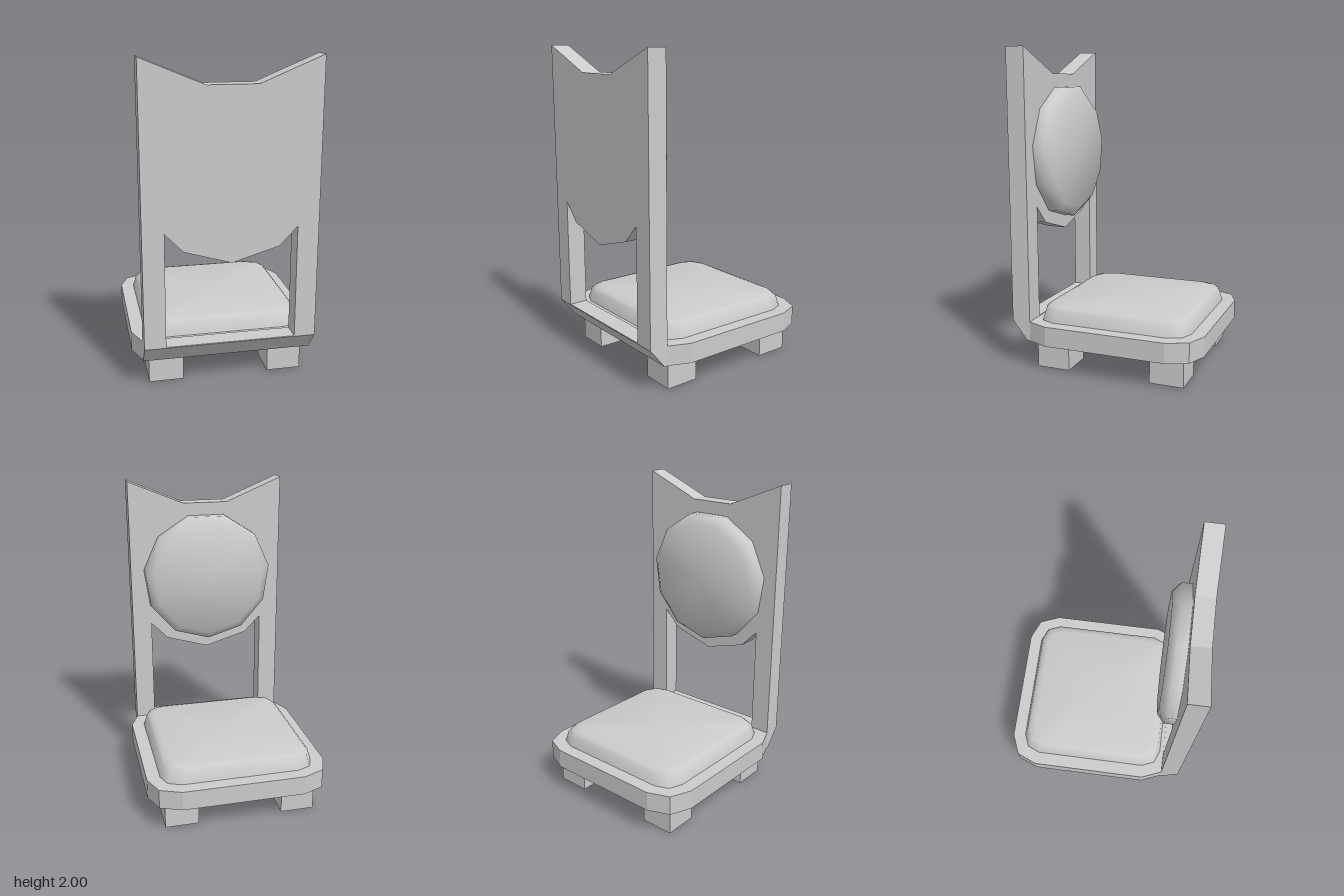
import * as THREE from 'three';
import { toCreasedNormals } from 'three/addons/utils/BufferGeometryUtils.js';

const material = new THREE.MeshStandardMaterial({ color: 0xcccccc });

function addMesh(group, name, geometry) {
  const mesh = new THREE.Mesh(geometry, material);
  mesh.name = name;
  group.add(mesh);
  return mesh;
}

const toShape = (pts) => new THREE.Shape(pts.map(([x, y]) => new THREE.Vector2(x, y)));
const extrude = (shape, depth) => new THREE.ExtrudeGeometry(shape, { depth, bevelEnabled: false });

// Complete a right-hand outline with its mirror image across x = 0
const mirrored = (half) => [
  ...half,
  ...half.filter(([x]) => x !== 0).reverse().map(([x, y]) => [-x, y]),
];

// Padded cushion: outline scaled through [height, scale] rings, closed by a flat top
function cushion(outline, rings) {
  const n = outline.length;
  const pos = [];
  const index = [];
  for (const [h, s] of rings) for (const [a, b] of outline) pos.push(a * s, h, -b * s);
  for (let r = 0; r < rings.length - 1; r++) {
    for (let i = 0; i < n; i++) {
      const j = (i + 1) % n;
      const p = r * n;
      index.push(p + i, p + j, p + n + j, p + i, p + n + j, p + n + i);
    }
  }
  const top = (rings.length - 1) * n;
  const centre = rings.length * n;
  pos.push(0, rings[rings.length - 1][0], 0);
  for (let i = 0; i < n; i++) index.push(top + i, top + ((i + 1) % n), centre);
  const geometry = new THREE.BufferGeometry();
  geometry.setAttribute('position', new THREE.Float32BufferAttribute(pos, 3));
  geometry.setIndex(index);
  return toCreasedNormals(geometry, 1.0);
}

export function createModel() {
  const chair = new THREE.Group();
  chair.name = 'chair';

  // Seat slab with clipped corners
  const seatOutline = mirrored([
    [0.525, -0.49], [0.58, -0.355], [0.58, 0.42], [0.525, 0.555], [0.39, 0.61],
  ]);
  const seat = extrude(toShape(seatOutline), 0.125);
  seat.rotateX(-Math.PI / 2);
  addMesh(chair, 'seat', seat).position.y = 0.175;

  // Chamfered rail joining the seat to the backrest
  const rail = extrude(toShape([[0.46, 0.175], [0.51, 0.175], [0.61, 0.3], [0.46, 0.3]]), 1.05);
  rail.rotateY(-Math.PI / 2);
  addMesh(chair, 'rearRail', rail).position.x = 0.525;

  // Backrest with notched top and an opening above the seat
  const back = toShape(mirrored([[0.525, 0.3], [0.525, 2], [0.15, 1.845]]));
  const opening = mirrored([[0.395, 0.305], [0.395, 1.01], [0.285, 0.895], [0, 0.81]]);
  back.holes.push(new THREE.Path(opening.map(([x, y]) => new THREE.Vector2(x, y))));
  addMesh(chair, 'backrest', extrude(back, 0.12)).position.z = 0.49;

  // Seat cushion: square with clipped corners
  const square = [];
  for (let k = 0; k < 4; k++) {
    for (const [x, y] of [[0.495, 0.375], [0.46, 0.46], [0.375, 0.495]]) {
      const p = new THREE.Vector2(x, y).rotateAround(new THREE.Vector2(), (k * Math.PI) / 2);
      square.push([p.x, p.y]);
    }
  }
  const seatPad = cushion(square, [[0, 1], [0.07, 0.965], [0.09, 0.925], [0.1, 0.86]]);
  addMesh(chair, 'seatCushion', seatPad).position.set(0, 0.3, -0.03);

  // Round back cushion with eleven sides
  const round = Array.from({ length: 11 }, (_, i) => {
    const t = Math.PI / 2 + (i * 2 * Math.PI) / 11;
    return [0.441 * Math.cos(t), 0.441 * Math.sin(t)];
  });
  const backPad = cushion(round, [[0, 1], [0.065, 1], [0.112, 0.87]]);
  backPad.rotateX(-Math.PI / 2);
  addMesh(chair, 'backCushion', backPad).position.set(0, 1.336, 0.49);

  // Four block feet
  for (const x of [-0.378, 0.378]) {
    for (const z of [-0.403, 0.348]) {
      const foot = new THREE.BoxGeometry(0.215, 0.18, 0.215);
      addMesh(chair, 'foot', foot).position.set(x, 0.09, z);
    }
  }
  return chair;
}
